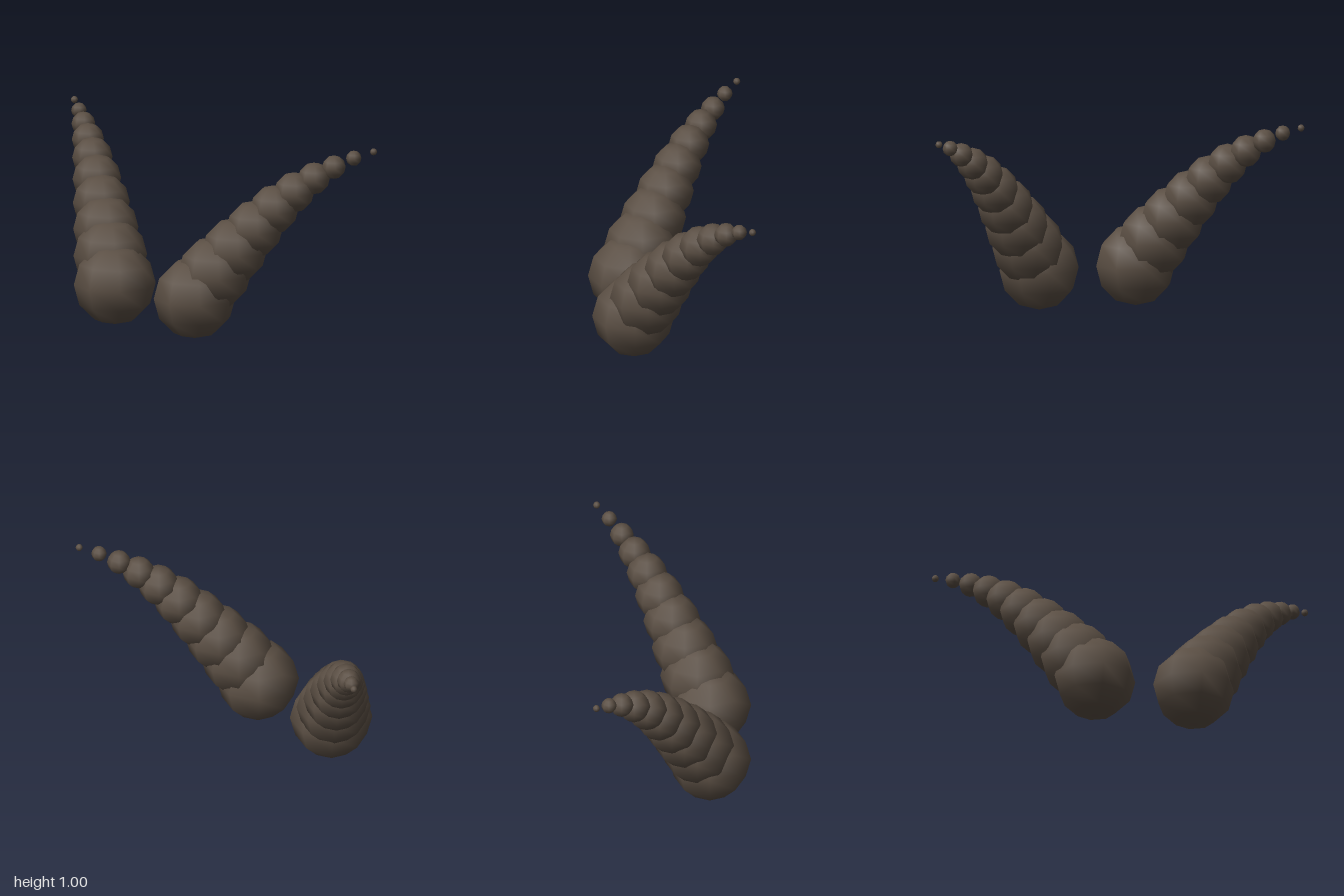
import * as THREE from 'three';

const hornMaterial = new THREE.MeshStandardMaterial({ color: 0x5a4e43 });
hornMaterial.name = 'dark brown horn';

// Heights of the bead centres, from the base to the tip
const HEIGHTS = [0.217, 0.348, 0.468, 0.582, 0.686, 0.776, 0.849, 0.908, 0.955, 0.988];

// One horn: overlapping beads that shrink evenly along a rising curve
function createHorn(name, side) {
  const horn = new THREE.Group();
  horn.name = name;
  HEIGHTS.forEach((y, i) => {
    const t = i / (HEIGHTS.length - 1);
    const radius = THREE.MathUtils.lerp(0.2145, 0.0185, t);
    const bead = new THREE.Mesh(new THREE.SphereGeometry(radius, 8, 6), hornMaterial);
    bead.name = i === 0 ? 'hornBase' : t === 1 ? 'hornTip' : 'hornSegment' + i;
    bead.position.set(
      side * THREE.MathUtils.lerp(0.262, 0.981, t),
      y,
      THREE.MathUtils.lerp(0.196, -0.392, t)
    );
    horn.add(bead);
  });
  return horn;
}

export function createModel() {
  const model = new THREE.Group();
  model.name = 'horns';
  model.add(createHorn('leftHorn', 1), createHorn('rightHorn', -1));
  return model;
}
